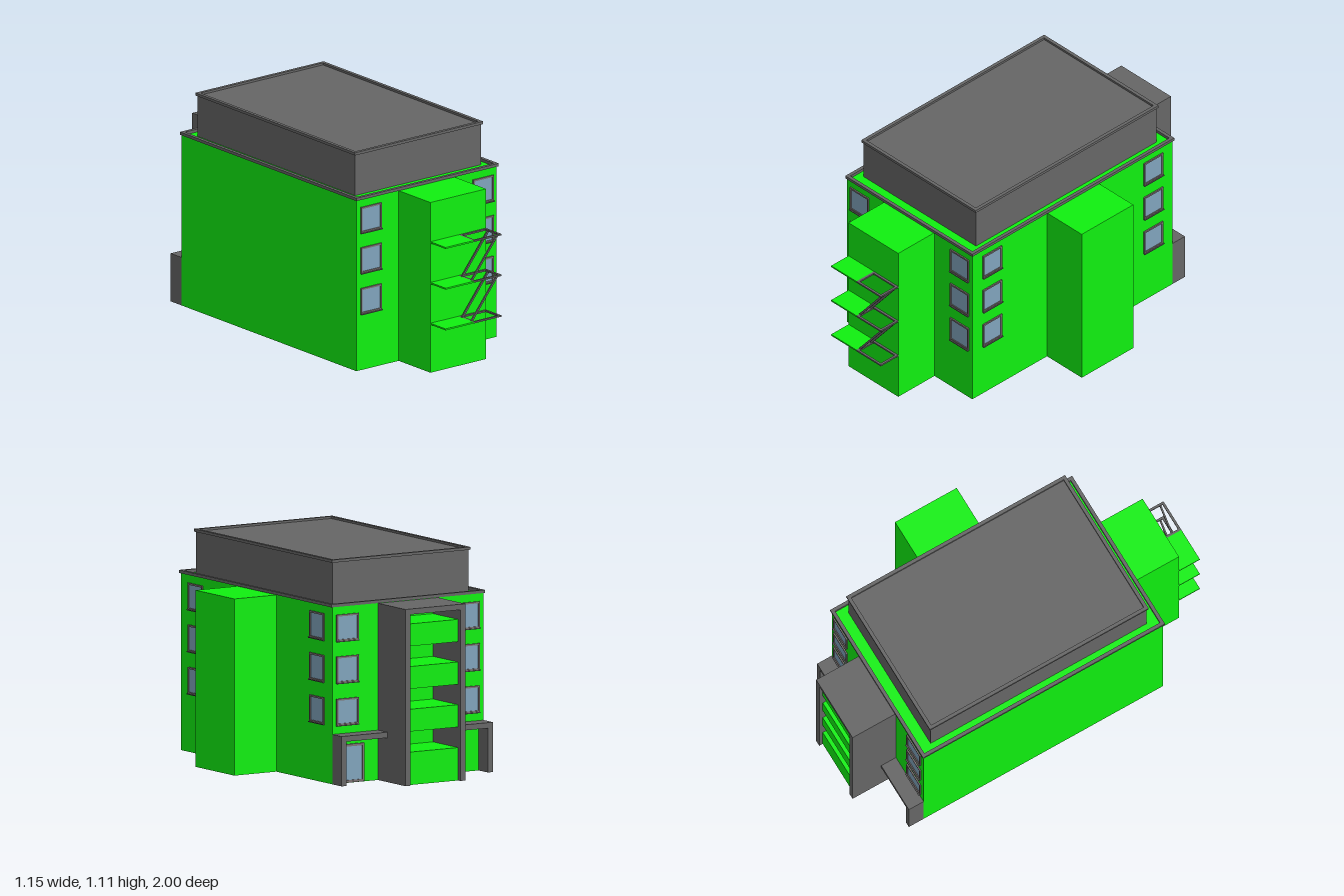
import * as THREE from 'three';

const mat = (color) => new THREE.MeshStandardMaterial({ color });

export function createModel() {
  const root = new THREE.Group();
  const green = mat(0x10f010), grey = mat(0x666666), frameMat = mat(0x7c7272), glass = mat(0x80a4bc);

  // Box given by its minimum and maximum on each axis
  function box(name, x0, x1, y0, y1, z0, z1, material, parent = root) {
    const mesh = new THREE.Mesh(new THREE.BoxGeometry(x1 - x0, y1 - y0, z1 - z0), material);
    mesh.position.set((x0 + x1) / 2, (y0 + y1) / 2, (z0 + z1) / 2);
    mesh.name = name;
    parent.add(mesh);
    return mesh;
  }

  // Flat extruded outline in the xy plane, with an optional rectangular hole
  function rect(Type, x0, x1, y0, y1) {
    const s = new Type();
    s.moveTo(x0, y0);
    s.lineTo(x1, y0);
    s.lineTo(x1, y1);
    s.lineTo(x0, y1);
    s.closePath();
    return s;
  }
  function ring(x0, x1, y0, y1, border, depth) {
    const s = rect(THREE.Shape, x0, x1, y0, y1);
    s.holes.push(rect(THREE.Path, x0 + border, x1 - border, y0 + border, y1 - border));
    return new THREE.ExtrudeGeometry(s, { depth, bevelEnabled: false });
  }
  // Horizontal rectangular frame lying at height y
  function flatRing(name, x0, x1, z0, z1, y, border, height, material, parent = root) {
    const geo = ring(x0, x1, -z1, -z0, border, height).rotateX(-Math.PI / 2);
    const mesh = new THREE.Mesh(geo, material);
    mesh.position.y = y;
    mesh.name = name;
    parent.add(mesh);
  }

  // Main block and the two projecting towers
  box('mainBlock', -0.57, 0.325, 0, 0.888, -0.75, 0.63, green);
  box('frontTower', -0.3, 0.055, 0, 0.886, 0.63, 0.88, green);
  box('sideTower', 0.325, 0.573, 0, 0.886, -0.24, 0.115, green);

  // Roof edging and set-back top storey
  flatRing('roofEdge', -0.575, 0.332, -0.756, 0.637, 0.888, 0.018, 0.015, grey);
  box('topStorey', -0.523, 0.28, 0.888, 1.103, -0.682, 0.562, grey);
  flatRing('topStoreyEdge', -0.53, 0.287, -0.69, 0.57, 1.1, 0.018, 0.014, grey);

  // Window facing +z, centred on its own origin
  function makeWindow() {
    const g = new THREE.Group();
    g.name = 'window';
    const frame = new THREE.Mesh(ring(-0.066, 0.066, -0.066, 0.068, 0.009, 0.007), frameMat);
    frame.name = 'windowFrame';
    g.add(frame);
    box('windowGlass', -0.058, 0.058, -0.058, 0.06, -0.002, 0.002, glass, g);
    box('windowSill', -0.066, 0.066, -0.069, -0.064, 0, 0.013, grey, g);
    return g;
  }
  const columns = [
    [-0.478, 0.63, 0], [0.237, 0.63, 0], // front
    [-0.478, -0.75, Math.PI], [0.237, -0.75, Math.PI], // back
  ].concat([[0.325, 0.495, Math.PI / 2], [0.325, -0.615, Math.PI / 2]]); // side
  for (const [x, z, turn] of columns) {
    for (const y of [0.358, 0.57, 0.78]) {
      const w = makeWindow();
      w.position.set(x, y, z);
      w.rotation.y = turn;
      root.add(w);
    }
  }

  // Fire escape: landings with open hatches joined by sloping ladders
  const escape = new THREE.Group();
  escape.name = 'fireEscape';
  root.add(escape);
  const landings = [0.254, 0.466, 0.678];
  for (const y of landings) {
    box('landing', -0.3, -0.12, y - 0.004, y + 0.004, 0.88, 1, green, escape);
    flatRing('hatchFrame', -0.12, 0.055, 0.88, 1, y - 0.004, 0.012, 0.008, grey, escape);
  }
  for (let i = 0; i < 2; i++) {
    const dx = 0.17, dy = landings[i + 1] - landings[i];
    for (const z of [0.903, 0.977]) {
      const rail = new THREE.Mesh(new THREE.BoxGeometry(Math.hypot(dx, dy), 0.01, 0.008), grey);
      rail.name = 'ladderRail';
      rail.position.set(-0.033, (landings[i] + landings[i + 1]) / 2, z);
      rail.rotation.z = Math.atan2(dy, dx);
      escape.add(rail);
    }
  }

  // Back portal: two tall walls with a cap, as one inverted U
  const portalShape = new THREE.Shape([
    [-0.3, 0], [-0.27, 0], [-0.27, 0.858], [0.025, 0.858],
    [0.025, 0], [0.055, 0], [0.055, 0.886], [-0.3, 0.886],
  ].map(([x, y]) => new THREE.Vector2(x, y)));
  const portal = new THREE.Mesh(new THREE.ExtrudeGeometry(portalShape, { depth: 0.25, bevelEnabled: false }), grey);
  portal.name = 'backPortal';
  portal.position.z = -1;
  root.add(portal);

  // Balconies between the portal walls
  for (const [y0, y1] of [[0, 0.165], [0.268, 0.38], [0.482, 0.594], [0.696, 0.808]]) {
    box('balcony', -0.27, 0.025, y0, y1, -0.98, -0.75, green);
  }

  // Entrance canopies: roof slab and outer wall, mirrored about the portal
  for (const [outer, inner, dir] of [[0.325, 0.055, 1], [-0.57, -0.3, -1]]) {
    const t = 0.03 * dir;
    const shape = new THREE.Shape([
      [outer, 0], [outer, 0.25], [inner, 0.25], [inner, 0.222], [outer - t, 0.222], [outer - t, 0],
    ].map(([x, y]) => new THREE.Vector2(x, y)));
    const canopy = new THREE.Mesh(new THREE.ExtrudeGeometry(shape, { depth: 0.085, bevelEnabled: false }), grey);
    canopy.name = 'entranceCanopy';
    canopy.position.z = -0.835;
    root.add(canopy);
  }

  // Entrance door
  const doorFrame = new THREE.Mesh(ring(0.14, 0.26, 0.002, 0.195, 0.012, 0.008), frameMat);
  doorFrame.name = 'doorFrame';
  doorFrame.position.z = -0.758;
  root.add(doorFrame);
  box('doorGlass', 0.15, 0.25, 0.012, 0.185, -0.753, -0.748, glass);

  return root;
}
